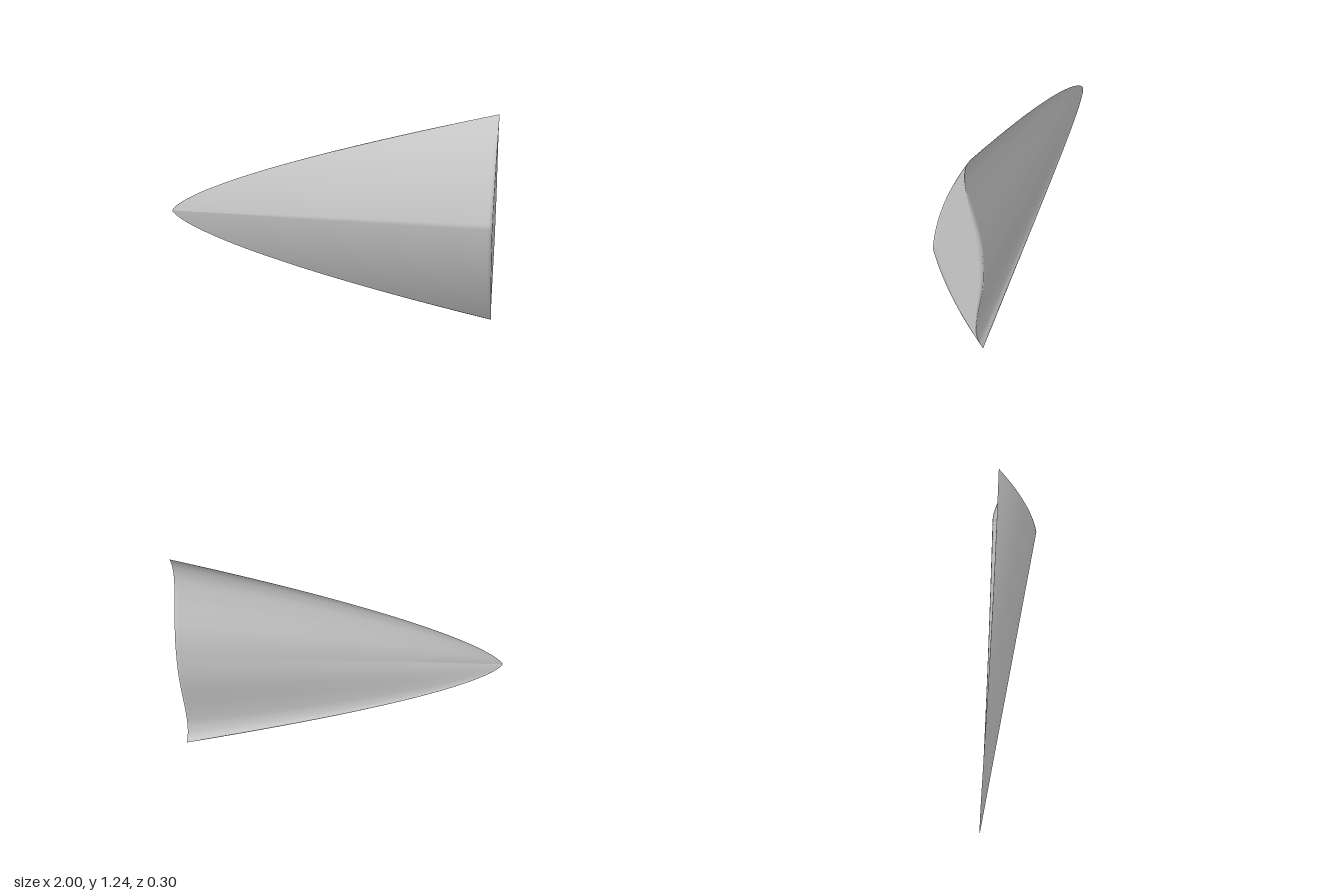
import * as THREE from 'three';
import { mergeGeometries, mergeVertices } from 'three/addons/utils/BufferGeometryUtils.js';

const HALF = 0.62;      // half height of the base, also its centre height
const RIDGE_Z = 0.15;   // depth of the front ridge
const NS = 96;          // divisions across the span
const NX = 36;          // divisions along the length

// Hollow rear profile of the base: (span fraction, z), mirrored about the middle
const halfRear = [
  [0, -0.148], [0.15, -0.1455], [0.29, -0.135], [0.45, -0.115], [0.61, -0.094],
  [0.77, -0.08], [0.86, -0.081], [0.94, -0.093], [1, -0.115],
];
const rear = new THREE.SplineCurve([
  ...halfRear.slice(1).reverse().map(([s, z]) => new THREE.Vector2(-s, z)),
  ...halfRear.map(([s, z]) => new THREE.Vector2(s, z)),
]).getPoints(NS);

// The front skin runs straight along x, so its depth depends on height alone
const width = (u) => Math.pow(u, 0.69);
const ridge = (q) => RIDGE_Z - 0.265 * (0.4 * q + 0.6 * q * q);
const spanY = (u, j) => HALF + HALF * width(u) * rear[j].x;
const frontZ = (u, j) => ridge(width(u) * Math.abs(rear[j].x));

// The rear skin lies behind it by a thickness that grows from the nose
const rearZ = (u, j) =>
  frontZ(u, j) - Math.pow(u, 1.07) * (frontZ(1, j) - rear[j].y);

// Length fraction with rows packed closer at the nose and the base
const along = (t) => t * t * (2.7 - 1.7 * t);

// Bend a plane grid by a rule; flip turns the surface to face the other way
function surface(columns, rule, flip) {
  const geometry = new THREE.PlaneGeometry(1, 1, columns, NS);
  const position = geometry.attributes.position;
  for (let iy = 0; iy <= NS; iy++) {
    for (let ix = 0; ix <= columns; ix++) {
      const j = flip ? iy : NS - iy;
      position.setXYZ(iy * (columns + 1) + ix, ...rule(ix / columns, j));
    }
  }
  geometry.deleteAttribute('normal');
  geometry.deleteAttribute('uv');
  return geometry;
}

export function createModel() {
  const group = new THREE.Group();
  group.name = 'wedgeHull';
  const grey = new THREE.MeshStandardMaterial({ color: 0xcccccc });
  grey.name = 'light grey';

  // Ridged front skin
  const front = surface(NX, (t, j) => {
    const u = along(t);
    return [2 * u - 1, spanY(u, j), frontZ(u, j)];
  }, false);

  // Fluted rear skin
  const back = surface(NX, (t, j) => {
    const u = along(t);
    return [2 * u - 1, spanY(u, j), rearZ(u, j)];
  }, true);

  // Flat base closing the wide end
  const base = surface(12, (t, j) => [
    1, spanY(1, j), THREE.MathUtils.lerp(frontZ(1, j), rearZ(1, j), t),
  ], false);

  // Weld the skins so the shading rolls softly over the rims
  const shell = mergeVertices(mergeGeometries([front, back, base]), 1e-5);
  shell.computeVertexNormals();
  const hull = new THREE.Mesh(shell, grey);
  hull.name = 'hull';
  group.add(hull);
  return group;
}
